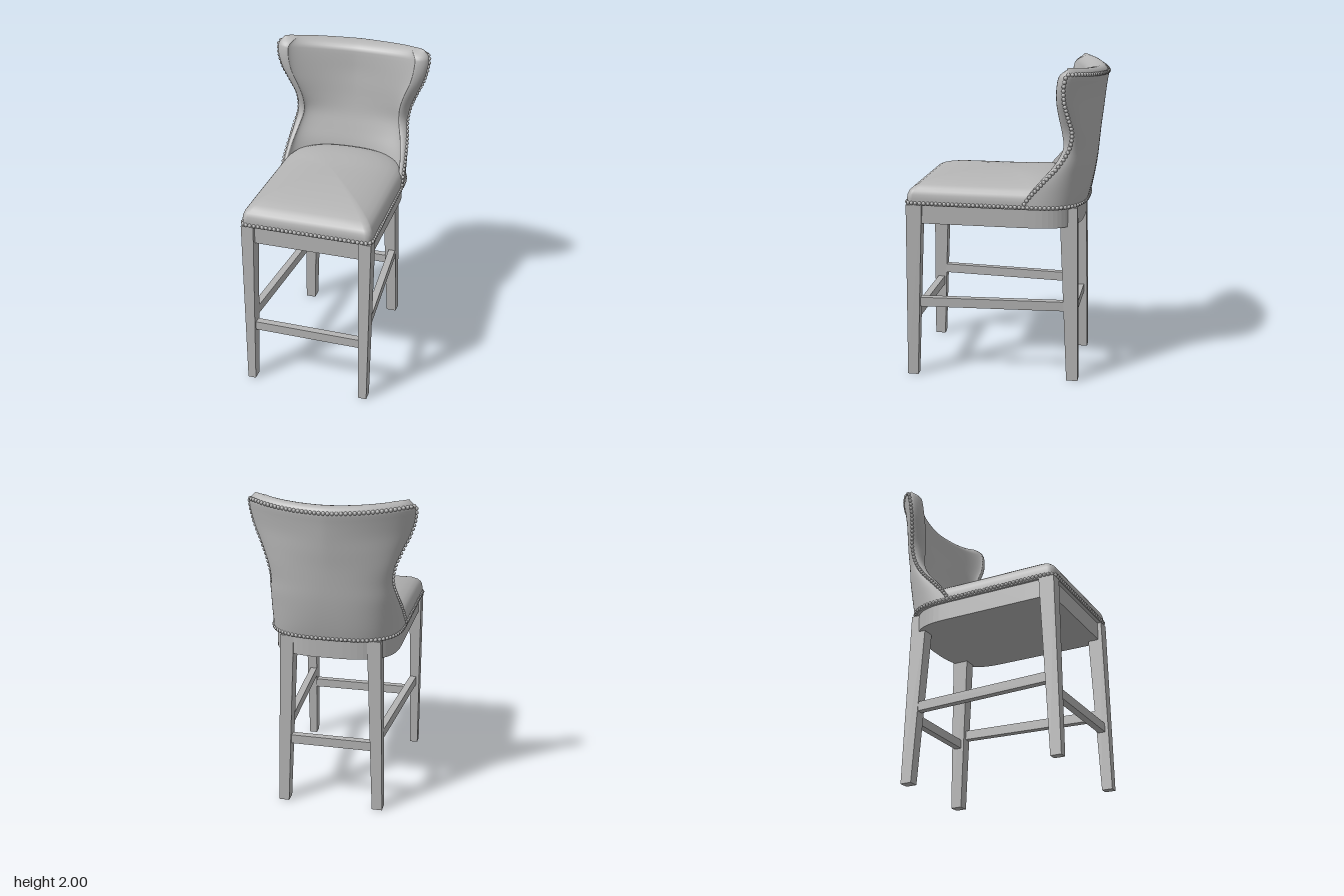
import * as THREE from 'three';
import { mergeGeometries } from 'three/addons/utils/BufferGeometryUtils.js';

const V = (x, y, z) => new THREE.Vector3(x, y, z);
const grey = new THREE.MeshStandardMaterial({ color: 0xb4b4b4 });
grey.name = 'plain grey';

function add(group, name, geometry) {
  const mesh = new THREE.Mesh(geometry, grey);
  mesh.name = name;
  group.add(mesh);
  return mesh;
}

// Skin closed loops stacked from bottom to top
function skin(rows) {
  const n = rows[0].length, index = [];
  for (let j = 0; j < rows.length - 1; j++) {
    for (let i = 0; i < n; i++) {
      const a = j * n + i, b = j * n + (i + 1) % n;
      index.push(a, b, a + n, b, b + n, a + n);
    }
  }
  const g = new THREE.BufferGeometry().setFromPoints(rows.flat());
  g.setIndex(index);
  g.computeVertexNormals();
  return g;
}

// Superellipse arc from +x over the rear to -x
function arc(w, z0, z1, n, steps) {
  const pts = [];
  for (let i = 0; i <= steps; i++) {
    const t = Math.PI * i / steps, c = Math.cos(t), s = Math.max(0, Math.sin(t));
    pts.push([w * Math.sign(c) * Math.abs(c) ** (2 / n), z0 + (z1 - z0) * s ** (2 / n)]);
  }
  return pts;
}

// Seat plan: round rear, straight sides, small front corners
function outline(w, front, rear, r = 0.04) {
  const pts = arc(w, -0.14, rear, 3, 32);
  const corner = [];
  for (let i = 0; i <= 5; i++) {
    const t = Math.PI / 2 * i / 5;
    corner.push([w - r + r * Math.cos(t), front - r + r * Math.sin(t)]);
  }
  const sides = [0.02, 0.2, 0.4];
  const across = [-0.25, -0.12, 0, 0.12, 0.25];
  return [...pts, ...sides.map(z => [-w, z]), ...corner.map(([x, z]) => [-x, z]),
    ...across.map(x => [x, front]), ...corner.reverse(), ...sides.reverse().map(z => [w, z])];
}

function slab(plan, y, height) {
  const shape = new THREE.Shape(plan.map(([x, z]) => new THREE.Vector2(x, -z)));
  return new THREE.ExtrudeGeometry(shape, { depth: height, bevelEnabled: false })
    .rotateX(-Math.PI / 2).translate(0, y, 0);
}

// Backrest by height: y | half width, seam z, wing front z, rear z, inner z, rim width, roundness
const heights = [1.14, 1.2, 1.3, 1.4, 1.5, 1.6, 1.7, 1.8, 1.9, 1.96, 2.0];
const levels = [
  0.413, -0.13, -0.12, -0.5, -0.35, 0.02, 3,
  0.41, -0.17, -0.155, -0.515, -0.36, 0.025, 2.9,
  0.403, -0.26, -0.235, -0.535, -0.375, 0.03, 2.6,
  0.39, -0.35, -0.32, -0.55, -0.4, 0.04, 2.3,
  0.375, -0.41, -0.37, -0.56, -0.425, 0.05, 2,
  0.39, -0.43, -0.362, -0.57, -0.44, 0.06, 1.8,
  0.43, -0.41, -0.345, -0.582, -0.45, 0.07, 1.7,
  0.475, -0.39, -0.335, -0.592, -0.46, 0.075, 1.6,
  0.5, -0.39, -0.34, -0.603, -0.465, 0.08, 1.6,
  0.497, -0.405, -0.355, -0.612, -0.47, 0.08, 1.6,
  0.46, -0.42, -0.38, -0.615, -0.48, 0.08, 1.6,
];
const profile = new THREE.CubicInterpolant(heights, levels, 7);
const STEPS = 40;

function backSection(y, close) {
  const [w, seam, wing, rear, inner, rim, n] = [...profile.evaluate(y)];
  const ni = Math.min(n, 2), wi = w - rim;
  const right = [];
  for (let i = 1; i < 6; i++) {
    const t = Math.PI / 2 * i / 6;
    right.push([wi + rim * Math.cos(t), seam + (wing - seam) * Math.sin(t)]);
  }
  const plan = [...arc(w, seam, rear, n, STEPS), ...right.map(([x, z]) => [-x, z]),
    ...arc(wi, wing, inner, ni, STEPS).reverse(), ...right.reverse()];
  const along = (x, width, z0, z1, p) =>
    z0 + (z1 - z0) * Math.max(0, 1 - (Math.abs(x) / width) ** p) ** (1 / p);
  const dip = 0.025 * THREE.MathUtils.smoothstep(y, 1.6, 1.98);
  return plan.map(([x, z]) => {
    const mid = 0.6 * along(x, w, seam, rear, n) + 0.4 * along(x, wi, wing, inner, ni);
    return V(x, y - dip * Math.max(0, 1 - (x / 0.45) ** 2), z + (mid - z) * close);
  });
}

// Tapered post between a top and a bottom rectangle: [x, z, width, depth]
function post(top, bottom, y1, y0) {
  const g = new THREE.BoxGeometry(1, 1, 1), p = g.attributes.position;
  for (let i = 0; i < p.count; i++) {
    const up = p.getY(i) > 0, [x, z, w, d] = up ? top : bottom;
    p.setXYZ(i, x + p.getX(i) * w, up ? y1 : y0, z + p.getZ(i) * d);
  }
  g.computeVertexNormals();
  return g;
}

// Evenly spaced dome nails along a path
function nails(points, spacing, closed) {
  const curve = new THREE.CatmullRomCurve3(points, closed, 'centripetal');
  const count = Math.round(curve.getLength() / spacing);
  return mergeGeometries(curve.getSpacedPoints(count).map(p =>
    new THREE.SphereGeometry(0.0125, 8, 6).translate(p.x, p.y, p.z)));
}

export function createModel() {
  const model = new THREE.Group();
  model.name = 'barChair';

  // Domed cushion
  const plan = outline(0.408, 0.598, -0.45);
  const dome = [[1, 1.14], [1.002, 1.17], [0.995, 1.195], [0.975, 1.217], [0.94, 1.235], [0.88, 1.253],
    [0.78, 1.27], [0.64, 1.287], [0.45, 1.302], [0.25, 1.311], [0.1, 1.315], [0, 1.316]];
  add(model, 'seatCushion', skin(dome.map(([f, y]) => plan.map(([x, z]) => {
    const pz = 0.05 + (z - 0.05) * f;
    const lift = 0.03 * THREE.MathUtils.smoothstep(-pz, 0, 0.35) * THREE.MathUtils.smoothstep(y, 1.2, 1.27)
      * (1 - (x * f / 0.42) ** 2);
    return V(x * f, y + lift, pz);
  }))));

  // Base band and wooden apron
  add(model, 'seatBand', slab(outline(0.408, 0.598, -0.495), 1.128, 0.02));
  add(model, 'apron', slab(outline(0.392, 0.575, -0.478), 1.01, 0.12));

  // Winged backrest with rounded top
  const rows = [];
  for (let i = 0; i <= 32; i++) rows.push(backSection(1.14 + 0.8 * i / 32, 0));
  for (let i = 1; i <= 8; i++) {
    const a = Math.PI / 2 * i / 8;
    rows.push(backSection(1.94 + 0.06 * Math.sin(a), 1 - Math.cos(a)));
  }
  add(model, 'backrest', skin(rows));

  // Nail trim around the seat and along the backrest seam
  add(model, 'seatNails', nails(outline(0.41, 0.6, -0.5).map(([x, z]) => V(x, 1.143, z)), 0.026, true));
  const edgeRows = rows.slice(1, 34);
  const topRow = rows[34].slice(1, STEPS);
  add(model, 'backrestNails', nails([...edgeRows.map(r => r[0]), ...topRow,
    ...edgeRows.map(r => r[STEPS]).reverse()], 0.026, false));

  // Legs and side stretchers, mirrored
  for (const s of [1, -1]) {
    const side = s > 0 ? 'left' : 'right';
    add(model, side + 'FrontLeg', post([s * 0.37, 0.55, 0.08, 0.1], [s * 0.376, 0.581, 0.052, 0.068], 1.13, 0));
    add(model, side + 'BackLeg', post([s * 0.272, -0.405, 0.085, 0.11], [s * 0.306, -0.445, 0.066, 0.072], 1.13, 0));
    const bar = post([s * 0.3, -0.43, 0.045, 0.06], [s * 0.365, 0.55, 0.045, 0.06], 0, 1);
    // The bar is shaped between its rear and front ends
    const p = bar.attributes.position;
    for (let i = 0; i < p.count; i++) {
      const front = p.getY(i) > 0.5;
      const dz = p.getZ(i) - (front ? 0.55 : -0.43);
      p.setXYZ(i, p.getX(i), 0.49 + dz, front ? 0.55 : -0.43);
    }
    const idx = bar.index.array;
    const a = V().fromBufferAttribute(p, idx[0]), b = V().fromBufferAttribute(p, idx[1]);
    const c = V().fromBufferAttribute(p, idx[2]), mid = V(s * 0.3325, 0.49, 0.06);
    // Keep faces pointing outward
    const normal = b.clone().sub(a).cross(c.clone().sub(a));
    if (normal.dot(a.clone().add(b).add(c).divideScalar(3).sub(mid)) < 0) {
      for (let i = 0; i < idx.length; i += 3) [idx[i], idx[i + 1]] = [idx[i + 1], idx[i]];
    }
    bar.computeVertexNormals();
    add(model, side + 'Stretcher', bar);
  }

  // Front and back stretchers
  add(model, 'frontStretcher', new THREE.BoxGeometry(0.7, 0.058, 0.045).translate(0, 0.4, 0.565));
  add(model, 'backStretcher', new THREE.BoxGeometry(0.54, 0.058, 0.045).translate(0, 0.425, -0.43));
  return model;
}
